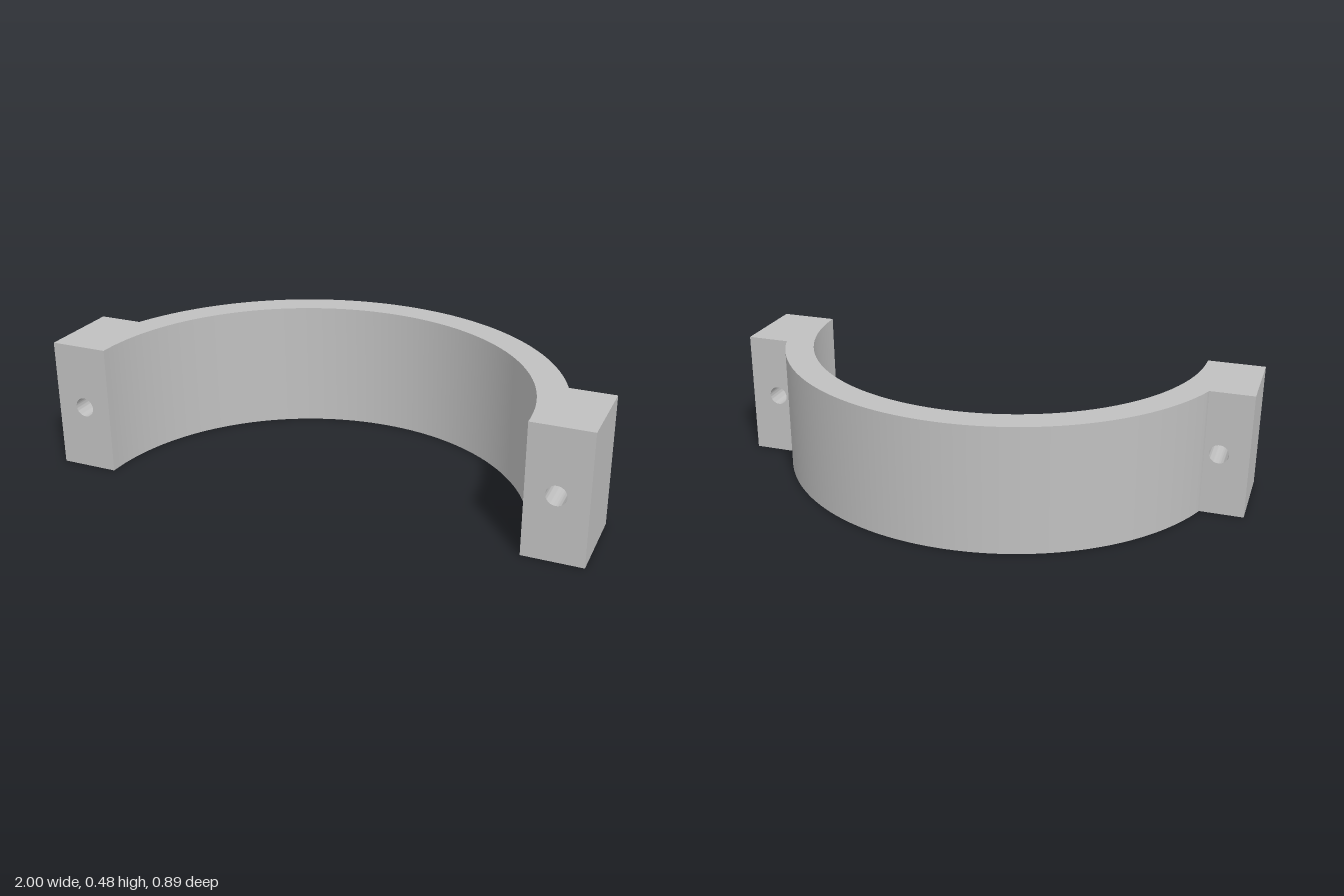
import * as THREE from 'three';
import { toCreasedNormals } from 'three/addons/utils/BufferGeometryUtils.js';

const HEIGHT = 0.48, FRONT = 0.447, LUG_BACK = 0.13;
const OUTER = 0.894, INNER = 0.784;
const LUG_DEPTH = FRONT - LUG_BACK;
const SEAM = Math.sqrt(OUTER ** 2 - LUG_DEPTH ** 2); // where lug meets band

function extrude(shape, depth, curveSegments) {
  const geometry = new THREE.ExtrudeGeometry(shape, { depth, curveSegments, bevelEnabled: false });
  return toCreasedNormals(geometry, 0.5);
}

export function createModel() {
  const group = new THREE.Group();
  group.name = 'halfClamp';
  const metal = new THREE.MeshStandardMaterial({ color: 0xc0c0c0 });
  metal.name = 'grey';

  // Half-round band, drawn in plan and extruded upward
  const a = Math.asin(LUG_DEPTH / OUTER);
  const plan = new THREE.Shape();
  plan.moveTo(SEAM, -FRONT);
  plan.lineTo(SEAM, -LUG_BACK);
  plan.absarc(0, -FRONT, OUTER, a, Math.PI - a, false);
  plan.lineTo(-SEAM, -FRONT);
  plan.lineTo(-INNER, -FRONT);
  plan.absarc(0, -FRONT, INNER, Math.PI, 0, true);
  plan.closePath();
  const band = new THREE.Mesh(extrude(plan, HEIGHT, 64).rotateX(-Math.PI / 2), metal);
  band.name = 'band';
  group.add(band);

  // Mounting lugs, each with a bolt hole running front to back
  for (const [name, side] of [['leftLug', 1], ['rightLug', -1]]) {
    const x0 = Math.min(side * SEAM, side), x1 = Math.max(side * SEAM, side);
    const face = new THREE.Shape();
    face.moveTo(x0, 0);
    face.lineTo(x1, 0);
    face.lineTo(x1, HEIGHT);
    face.lineTo(x0, HEIGHT);
    face.closePath();
    const hole = new THREE.Path();
    hole.absarc(side * 0.89, HEIGHT / 2, 0.036, 0, Math.PI * 2, true);
    face.holes.push(hole);
    const lug = new THREE.Mesh(extrude(face, LUG_DEPTH, 32), metal);
    lug.position.z = LUG_BACK;
    lug.name = name;
    group.add(lug);
  }
  return group;
}
